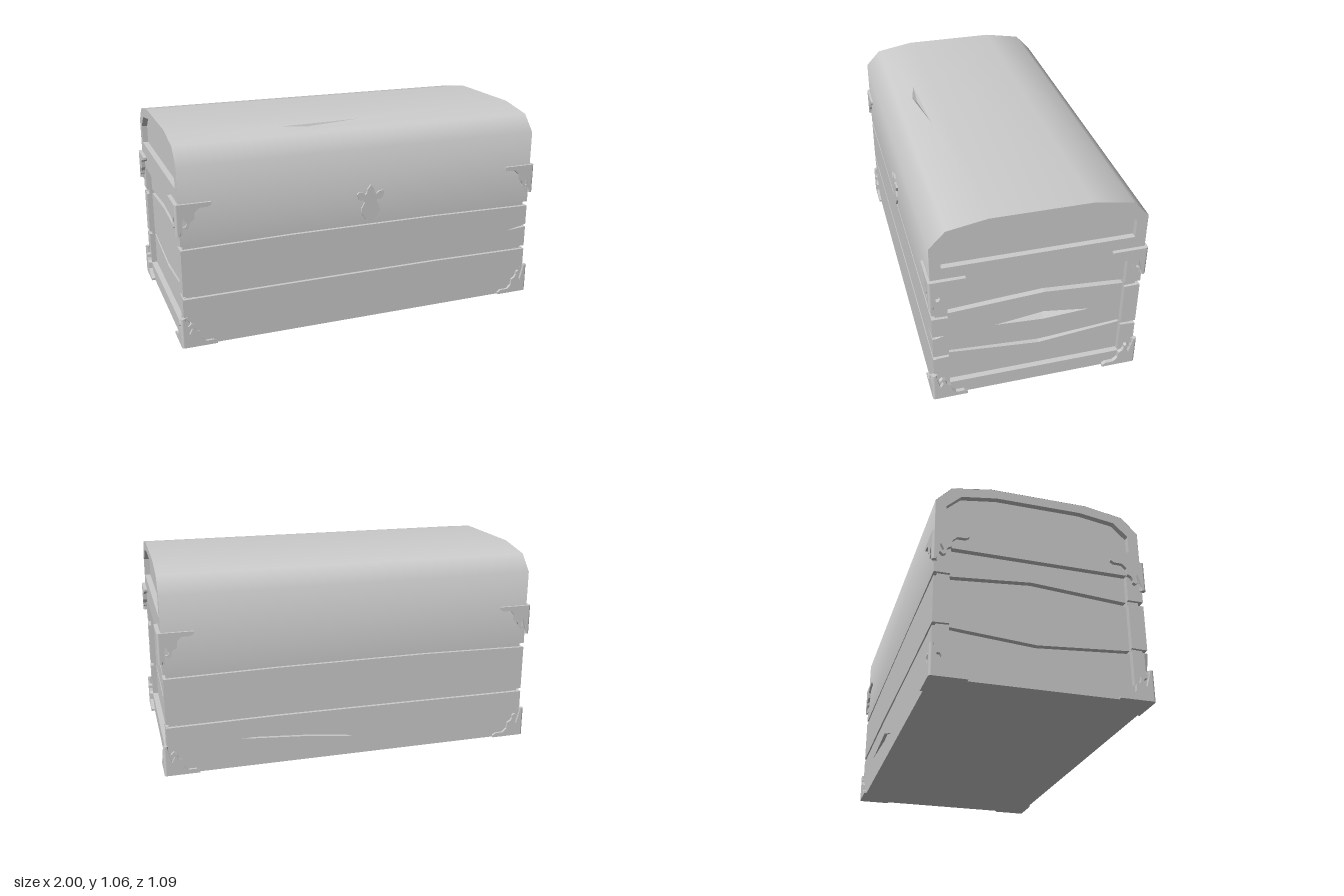
import * as THREE from 'three';

const grey = new THREE.MeshStandardMaterial({ color: 0xcccccc });
const greyDouble = new THREE.MeshStandardMaterial({ color: 0xcccccc, side: THREE.DoubleSide });

const toShape = (pts, ...holes) => {
  const shape = new THREE.Shape(pts.map(([a, b]) => new THREE.Vector2(a, b)));
  holes.forEach((h) => shape.holes.push(new THREE.Path(h.map(([a, b]) => new THREE.Vector2(a, b)))));
  return shape;
};
const mirrorZ = (half) => [...half, ...half.map(([z, y]) => [-z, y]).reverse()];

export function createModel() {
  const chest = new THREE.Group();
  chest.name = 'chest';

  const add = (name, geometry, material = grey) => {
    const mesh = new THREE.Mesh(geometry, material);
    mesh.name = name;
    chest.add(mesh);
    return mesh;
  };
  const box = (name, x0, x1, y0, y1, z0, z1) =>
    add(name, new THREE.BoxGeometry(x1 - x0, y1 - y0, z1 - z0)
      .translate((x0 + x1) / 2, (y0 + y1) / 2, (z0 + z1) / 2));
  // Plate drawn in x,y and spanning z0..z1
  const facePlate = (name, pts, z0, z1, ...holes) =>
    add(name, new THREE.ExtrudeGeometry(toShape(pts, ...holes), { depth: z1 - z0, bevelEnabled: false })
      .translate(0, 0, z0));
  // Plate drawn in z,y and spanning x0..x1 on the side given by s
  const sidePlate = (name, s, pts, x0, x1, ...holes) => {
    const turn = (list) => list.map(([z, y]) => [-z, y]);
    return add(name, new THREE.ExtrudeGeometry(toShape(turn(pts), ...holes.map(turn)), { depth: x1 - x0, bevelEnabled: false })
      .rotateY(Math.PI / 2).translate(s > 0 ? x0 : -x1, 0, 0));
  };
  // Faceted hollow from a rim to a deep point
  const dent = (name, rim, deep) => {
    const pos = rim.flatMap((p, i) => [...p, ...rim[(i + 1) % rim.length], ...deep]);
    const g = new THREE.BufferGeometry();
    g.setAttribute('position', new THREE.Float32BufferAttribute(pos, 3));
    g.computeVertexNormals();
    add(name, g, greyDouble);
  };

  // Inner box, which forms the floor of the grooves
  box('innerBox', -0.92, 0.92, 0, 0.7, -0.512, 0.512);

  // Front and back planks with slightly wavy edges
  const lowTop = [[0.98, 0.255], [0.4, 0.262], [-0.4, 0.26], [-0.98, 0.257]];
  const midPlank = [[-0.98, 0.275], [-0.4, 0.275], [0.3, 0.285], [0.98, 0.275]];
  const midTop = [[0.98, 0.515], [0.4, 0.525], [-0.4, 0.527], [-0.98, 0.517]];
  const chip = [[-0.945, 0.12], [-0.98, 0.16]];
  const split = [[0.98, 0.39], [0.86, 0.38], [0.98, 0.405]];
  facePlate('frontLowerPlank', [[-0.98, 0], [0.98, 0], ...lowTop, ...chip], 0.512, 0.53);
  facePlate('frontMiddlePlank', [...midPlank, ...split, ...midTop], 0.512, 0.53);
  facePlate('backLowerPlank', [[-0.98, 0], [0.98, 0], ...lowTop], -0.53, -0.512,
    [[0.6, 0.155], [0.22, 0.175], [0, 0.1], [0.25, 0.13]]);
  facePlate('backMiddlePlank', [...midPlank, ...midTop], -0.53, -0.512);

  // Lid and upper planks: one smooth skin made of strips along a profile
  const profile = mirrorZ([[0.53, 0.54], [0.53, 0.94], [0.45, 1.025], [0.25, 1.06]]);
  const edgeNormals = profile.slice(1).map(([z, y], i) =>
    new THREE.Vector3(0, profile[i][0] - z, y - profile[i][1]).normalize());
  const normals = profile.map((_, i) =>
    (edgeNormals[i - 1] ?? edgeNormals[0]).clone().add(edgeNormals[i] ?? edgeNormals[i - 1]).normalize());
  const lidCrack = [[-0.41, 0.565], [-0.27, 0.425], [0.04, 0.65], [-0.24, 0.6]];
  edgeNormals.forEach((_, i) => {
    const [a, b] = [profile[i], profile[i + 1]];
    const strip = toShape([[-0.98, 0], [0.98, 0], [0.98, 1], [-0.98, 1]], ...(i === 2 ? [lidCrack] : []));
    const g = new THREE.ShapeGeometry(strip);
    const p = g.attributes.position, n = g.attributes.normal;
    for (let k = 0; k < p.count; k++) {
      const t = p.getY(k);
      const v = normals[i].clone().lerp(normals[i + 1], t).normalize();
      p.setXYZ(k, p.getX(k), a[1] + (b[1] - a[1]) * t, a[0] + (b[0] - a[0]) * t);
      n.setXYZ(k, v.x, v.y, v.z);
    }
    add('lidSkin', g, greyDouble);
  });
  dent('lidCrack', lidCrack.map(([x, t]) => [x, 1.025 + 0.035 * t, 0.45 - 0.2 * t]), [-0.25, 1.022, 0.342]);
  for (const s of [-1, 1]) {
    box('upperPlankLip', -0.97, 0.97, 0.54, 0.57, s > 0 ? 0.5 : -0.529, s > 0 ? 0.529 : -0.5);
  }

  // Ends: raised frame, recessed planks and lid panel
  const lidRecess = mirrorZ([[0.475, 0.82], [0.475, 0.915], [0.4, 0.985], [0.22, 1.012]]);
  const endOutline = profile.map(([z, y]) => [z * 0.998, y > 1 ? y - 0.001 : y]);
  const diamond = [[0.21, 0.386], [-0.04, 0.42], [-0.28, 0.384], [-0.04, 0.37]];
  const frameLow = mirrorZ([[0.512, 0], [0.512, 0.258], [0.45, 0.26], [0.45, 0.08]]);
  const frameTop = [
    [0.45, 0.54], [0.45, 0.68], [-0.45, 0.68], [-0.45, 0.54], ...endOutline.slice().reverse(),
  ];
  for (const s of [-1, 1]) {
    sidePlate('endLowerFrame', s, frameLow, 0.92, 0.98);
    sidePlate('endUpperFrame', s, frameTop, 0.92, 0.98, lidRecess);
    sidePlate('lidEndPanel', s, lidRecess, 0.9, 0.95);
    for (const e of [-1, 1]) {
      const post = [[0.512, 0.275], [0.45, 0.277], [0.45, 0.513], [0.512, 0.515]];
      if (s > 0 && e > 0) post.push([0.512, 0.405], [0.47, 0.403], [0.512, 0.391]);
      sidePlate('endPost', s, post.map(([z, y]) => [z * e, y]), 0.92, 0.98);
      sidePlate('endPostCore', s, [[0.45 * e, 0.1], [0.51 * e, 0.1], [0.51 * e, 0.65], [0.45 * e, 0.65]], 0.91, 0.965);
    }
    sidePlate('endLowerPlank', s, [[0.46, 0.05], [0.46, 0.26], [-0.02, 0.215], [-0.46, 0.26], [-0.46, 0.05]], 0.91, 0.95);
    sidePlate('endMiddlePlank', s,
      [[0.46, 0.275], [-0.02, 0.24], [-0.46, 0.275], [-0.46, 0.515], [-0.04, 0.545], [0.46, 0.515]],
      0.92, 0.95, ...(s > 0 ? [diamond] : []));
    sidePlate('endUpperPlank', s, [[0.46, 0.54], [-0.04, 0.575], [-0.46, 0.54], [-0.46, 0.7], [0.46, 0.7]], 0.91, 0.95);
  }
  dent('endCrack', diamond.map(([z, y]) => [0.95, y, z]), [0.923, 0.396, -0.04]);

  // Scrolled corner brackets: u runs away from the corner, v along its height
  const scroll = [
    [0.012, 0], [0.18, 0], [0.18, 0.012], [0.163, 0.023], [0.12, 0.024], [0.097, 0.045], [0.094, 0.08],
    [0.075, 0.09], [0.067, 0.105], [0.066, 0.122], [0.052, 0.13], [0.036, 0.115], [0.05, 0.113],
    [0.056, 0.1], [0.04, 0.07], [0.017, 0.16], [0.012, 0.16],
  ];
  for (const sx of [-1, 1]) for (const sz of [-1, 1]) for (const top of [false, true]) {
    const height = (v) => (top ? 0.757 - v : v);
    facePlate('cornerBracketFace', scroll.map(([u, v]) => [sx * (1 - u), height(v)]),
      sz > 0 ? 0.515 : -0.543, sz > 0 ? 0.543 : -0.515);
    sidePlate('cornerBracketEnd', sx, scroll.map(([u, v]) => [sz * (0.543 - u), height(v)]), 0.965, 1);
    add('cornerBracketEdge', new THREE.CylinderGeometry(0.012, 0.012, 0.16, 16)
      .translate(sx * 0.988, height(0.08), sz * 0.531));
  }

  // Lock plate with scrolled arms
  const lockHalf = [
    [0, 0.543], [0.03, 0.565], [0.052, 0.6], [0.05, 0.625], [0.033, 0.655], [0.037, 0.67], [0.055, 0.665],
    [0.066, 0.675], [0.076, 0.7], [0.066, 0.712], [0.045, 0.708], [0.032, 0.695], [0.022, 0.705],
    [0.018, 0.725], [0, 0.747],
  ];
  const lock = [...lockHalf, ...lockHalf.slice(1, -1).reverse().map(([x, y]) => [-x, y])];
  facePlate('lockPlate', lock.map(([x, y]) => [x + 0.018, y]), 0.52, 0.54);

  return chest;
}
